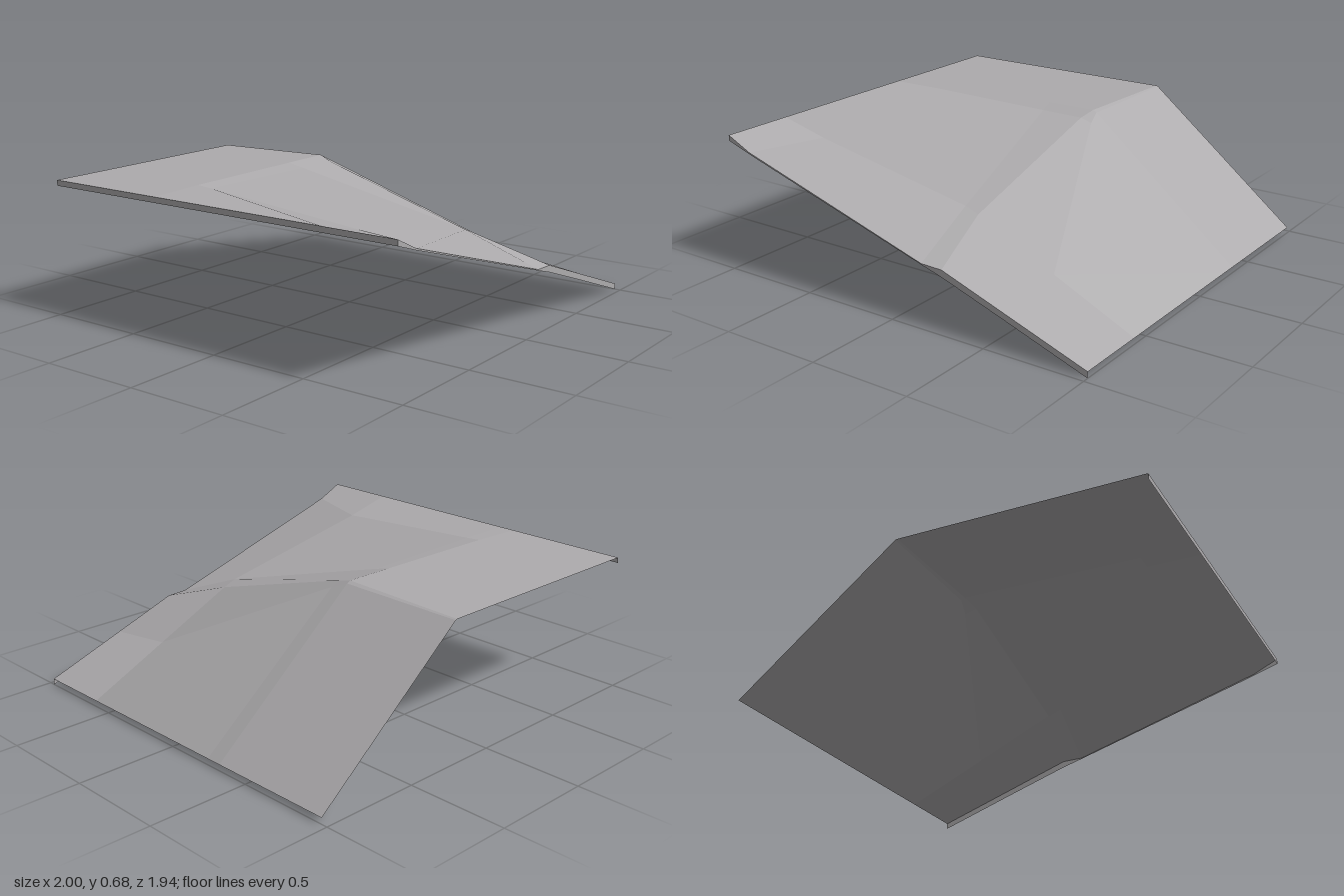
import * as THREE from 'three';

// Folded sheet: each row runs across x at one z, as [x, y] fold points
const ROWS = [
  { z: -0.97, p: [[-1, 0.667], [-0.72, 0.667], [-0.06, 0.668], [0.2, 0.668], [0.21, 0.665], [1, 0.03]] },
  { z: -0.33, p: [[-1, 0.667], [-0.72, 0.675], [-0.06, 0.68], [0.2, 0.682], [0.22, 0.672], [1, 0.03]] },
  { z: -0.25, p: [[-1, 0.667], [-0.72, 0.669], [-0.045, 0.66], [0.18, 0.658], [0.24, 0.64], [1, 0.03]] },
  { z: 0.6, p: [[-1, 0.667], [-0.75, 0.605], [0.11, 0.437], [0.18, 0.41], [0.59, 0.22], [1, 0.03]] },
  { z: 0.97, p: [[-1, 0.667], [-0.87, 0.605], [0.15, 0.293], [0.26, 0.29], [0.59, 0.174], [1, 0.03]] },
];

// Surface stretched between rows of 3D points, with one flat normal per panel
function loft(name, rows, material) {
  const pos = [], nor = [];
  const across = new THREE.Vector3(), along = new THREE.Vector3();
  for (let r = 0; r < rows.length - 1; r++) {
    for (let c = 0; c < rows[r].length - 1; c++) {
      const a = rows[r][c], b = rows[r][c + 1];
      const d = rows[r + 1][c], e = rows[r + 1][c + 1];
      pos.push(...a, ...d, ...b, ...b, ...d, ...e);
      along.set(e[0] - a[0], e[1] - a[1], e[2] - a[2]);
      across.set(b[0] - d[0], b[1] - d[1], b[2] - d[2]);
      const n = along.cross(across).normalize().toArray();
      for (let i = 0; i < 6; i++) nor.push(...n);
    }
  }
  const geometry = new THREE.BufferGeometry();
  geometry.setAttribute('position', new THREE.Float32BufferAttribute(pos, 3));
  geometry.setAttribute('normal', new THREE.Float32BufferAttribute(nor, 3));
  const mesh = new THREE.Mesh(geometry, material);
  mesh.name = name;
  return mesh;
}

export function createModel() {
  const group = new THREE.Group();
  group.name = 'foldedSlope';
  const grey = new THREE.MeshStandardMaterial({ color: 0xadabad, side: THREE.DoubleSide });
  grey.name = 'stoneGrey';

  // Main folded surface
  const sheet = ROWS.map(({ z, p }) => p.map(([x, y]) => [x, y, z]));
  group.add(loft('slopeSheet', sheet, grey));

  // Narrow rim hanging along the high left edge
  const sideTop = sheet.map((row) => row[0]);
  const sideLow = sideTop.map(([x, y, z]) => [x, y - 0.027, z]);
  group.add(loft('sideRim', [sideTop, sideLow], grey));

  // Front rim, tapering to nothing along the middle
  const frontTop = sheet[sheet.length - 1];
  const lowY = [0.64, 0.597, 0.288, 0.256, 0.143, 0];
  const frontLow = frontTop.map(([x, , z], i) => [x, lowY[i], z]);
  group.add(loft('frontRim', [frontTop, frontLow], grey));

  return group;
}
